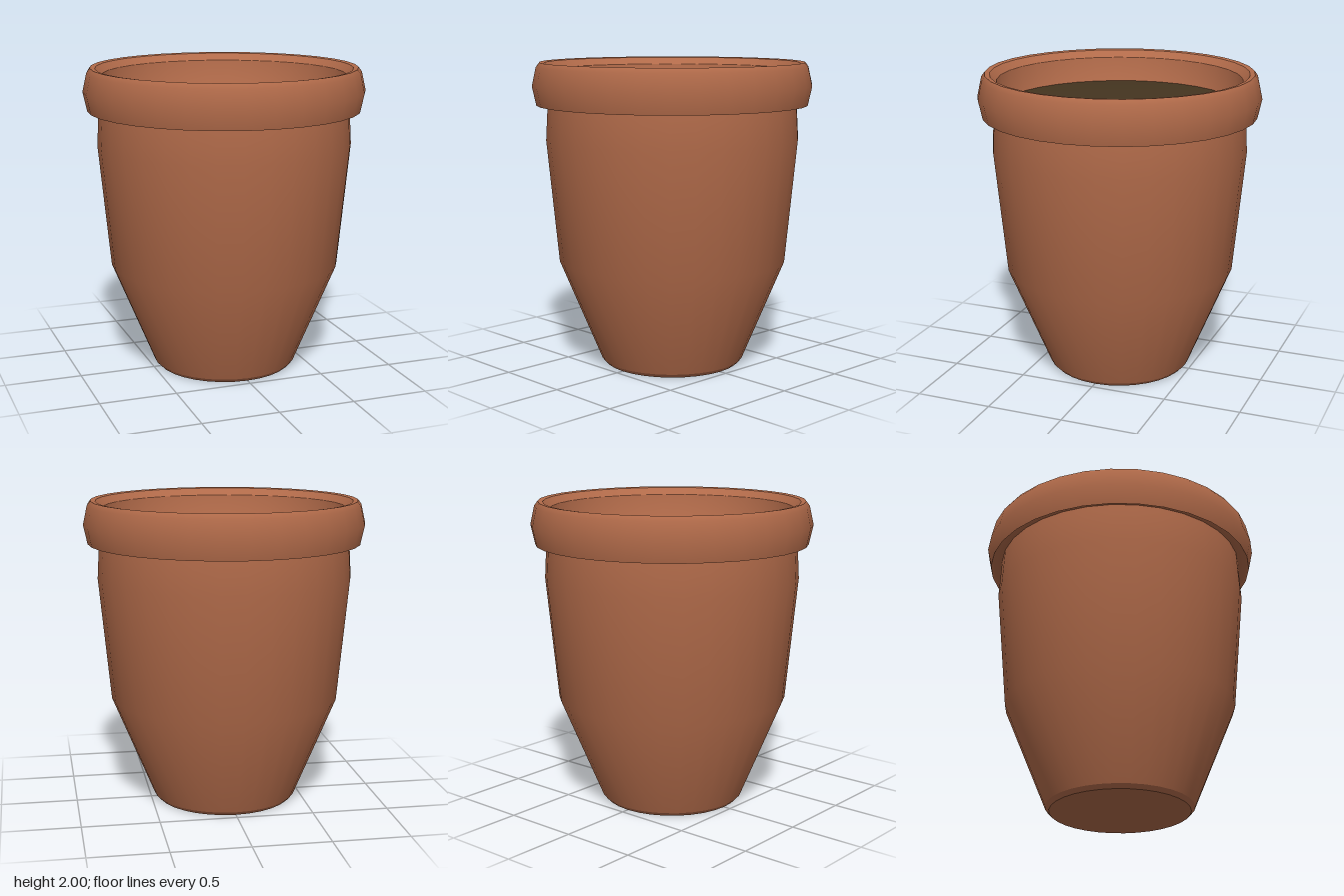
import * as THREE from 'three';

const SIDES = 32;

export function createModel() {
  const pot = new THREE.Group();
  pot.name = 'flowerPot';

  const terracotta = new THREE.MeshStandardMaterial({ color: 0xb26b4a });
  terracotta.name = 'terracotta';
  const earth = new THREE.MeshStandardMaterial({ color: 0x453520 });
  earth.name = 'dark earth';

  // Turns a [radius, height] profile around the y axis; separate profiles keep sharp edges
  const turned = (name, material, profile) => {
    const points = profile.map(([r, y]) => new THREE.Vector2(r, y));
    const mesh = new THREE.Mesh(new THREE.LatheGeometry(points, SIDES), material);
    mesh.name = name;
    pot.add(mesh);
    return mesh;
  };

  // Base disc and its small bevel
  turned('base', terracotta, [[0, 0.006], [0.45, 0.002]]);
  turned('baseBevel', terracotta, [[0.45, 0.002], [0.475, 0.028]]);

  // Tapered wall, steeper below the shoulder, running up behind the collar
  turned('wall', terracotta, [[0.475, 0.028], [0.752, 0.7], [0.828, 1.5], [0.815, 1.73], [0.813, 1.765]]);

  // Overhanging collar around the mouth, with a shallow hollow underneath
  turned('rimRecess', terracotta, [[0.813, 1.765], [0.872, 1.755], [0.887, 1.725]]);
  turned('rimOutside', terracotta, [[0.887, 1.725], [0.914, 1.85], [0.887, 1.97], [0.865, 2]]);
  turned('rimTop', terracotta, [[0.865, 2], [0.833, 1.995]]);
  turned('rimInnerBevel', terracotta, [[0.833, 1.995], [0.79, 1.95]]);
  turned('innerWall', terracotta, [[0.79, 1.95], [0.764, 1.78], [0.72, 1.74]]);

  // Domed soil filling, settled slightly off centre
  const soil = turned('soil', earth, [[0.767, 1.788], [0.58, 1.802], [0.38, 1.815], [0.18, 1.822], [0, 1.825]]);
  soil.position.set(-0.008, 0, -0.003);

  return pot;
}
